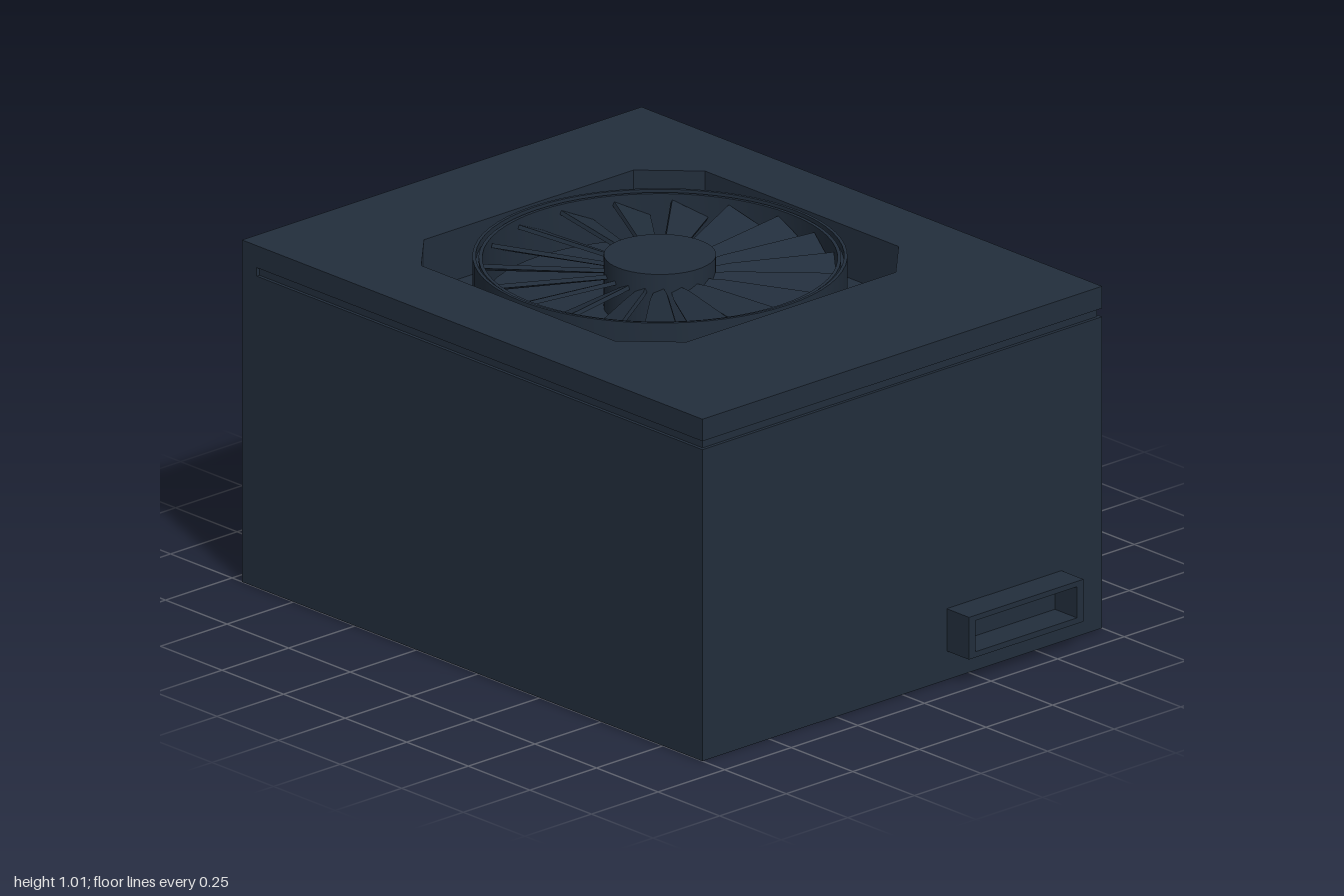
import * as THREE from 'three';
import { toCreasedNormals } from 'three/addons/utils/BufferGeometryUtils.js';

export function createModel() {
  const group = new THREE.Group();
  const metal = new THREE.MeshStandardMaterial({ color: 0x222e3c });
  metal.name = 'dark slate metal';

  const add = (name, geometry, x = 0, y = 0, z = 0, parent = group) => {
    const mesh = new THREE.Mesh(geometry, metal);
    mesh.name = name;
    mesh.position.set(x, y, z);
    parent.add(mesh);
    return mesh;
  };
  const poly = (points, Type = THREE.Shape) => new Type(points.map(([a, b]) => new THREE.Vector2(a, b)));
  const rect = (a0, b0, a1, b1, Type) => poly([[a0, b0], [a1, b0], [a1, b1], [a0, b1]], Type);
  const extrude = (shape, depth) => new THREE.ExtrudeGeometry(shape, { depth, bevelEnabled: false });
  // Outline drawn in (z, y), thickened toward -x
  const sideways = (shape, depth) => extrude(shape, depth).rotateY(-Math.PI / 2);

  const cx = -0.0875, cz = -0.0125;

  // Casing: solid base, then layers around the octagonal fan well
  const floor = 0.86;
  add('casingBase', new THREE.BoxGeometry(1.81, floor, 1.5), 0.005, floor / 2, 0);
  const layer = (name, y0, y1, inset) => {
    const shape = rect(-0.9, -0.75 + inset, 0.91 - inset, 0.75 - inset);
    const h = 0.5325, c = 0.393;
    const well = [[-c, -h], [c, -h], [h, -c], [h, c], [c, h], [-c, h], [-h, c], [-h, -c]];
    shape.holes.push(poly(well.map(([x, y]) => [cx + x, y - cz]), THREE.Path));
    add(name, extrude(shape, y1 - y0).rotateX(-Math.PI / 2), 0, y0, 0);
  };
  layer('casingUpper', floor, 0.92, 0);
  layer('seamGroove', 0.92, 0.945, 0.01);
  layer('lid', 0.945, 1.01, 0);

  // Perforated end panel
  const panel = rect(-0.75, 0, 0.75, 1.01);
  for (let row = 0; row < 9; row++) {
    for (let col = 0; col < 16; col++) {
      const hole = new THREE.Path();
      const z = -0.585 + col * 0.078, y = 0.355 + row * 0.07;
      for (let i = 0; i < 6; i++) {
        const a = i * Math.PI / 3 + Math.PI / 6;
        const px = z + 0.025 * Math.cos(a), py = y + 0.025 * Math.sin(a);
        if (i === 0) hole.moveTo(px, py); else hole.lineTo(px, py);
      }
      hole.closePath();
      panel.holes.push(hole);
    }
  }
  add('ventPanel', sideways(panel, 0.06), -0.9, 0, 0);

  // Fan: grooved ring, hub and pitched blades
  const fan = new THREE.Group();
  fan.name = 'fan';
  fan.position.set(cx, 0, cz);
  group.add(fan);
  const profile = [
    [0.49, 0.87], [0.517, 0.87], [0.517, 1.011], [0.508, 1.011], [0.508, 0.99],
    [0.5, 0.99], [0.5, 1.005], [0.49, 1.005], [0.49, 0.87],
  ].map(([r, y]) => new THREE.Vector2(r, y));
  add('fanRing', toCreasedNormals(new THREE.LatheGeometry(profile, 64), 0.5), 0, 0, 0, fan);
  add('fanHub', new THREE.CylinderGeometry(0.155, 0.155, 0.155, 48), 0, 0.9375, 0, fan);

  const bladeShape = poly([[0.15, -0.015], [0.195, -0.025], [0.485, -0.055], [0.485, 0.055], [0.195, 0.025], [0.15, 0.015]]);
  const bladeGeometry = extrude(bladeShape, 0.012).rotateX(-Math.PI / 2).rotateX(0.42);
  const blades = 19;
  for (let i = 0; i < blades; i++) {
    const blade = add('fanBlade', bladeGeometry, 0, 0.955, 0, fan);
    blade.rotation.y = Math.PI / 2 + i * 2 * Math.PI / blades;
  }

  // Hollow cable outlet on the right end
  const outlet = rect(-0.597, 0.085, -0.167, 0.21);
  outlet.holes.push(rect(-0.573, 0.102, -0.191, 0.194, THREE.Path));
  add('cableOutlet', sideways(outlet, 0.09), 1, 0, 0);

  // Power inlet with chamfered top corners
  const inlet = poly([[0.22, 0.085], [0.49, 0.085], [0.49, 0.19], [0.4, 0.29], [0.3, 0.29], [0.22, 0.19]]);
  inlet.holes.push(poly([[0.25, 0.112], [0.46, 0.112], [0.46, 0.18], [0.388, 0.262], [0.313, 0.262], [0.25, 0.18]], THREE.Path));
  add('powerInlet', sideways(inlet, 0.04), -0.96, 0, 0);

  // Rocker switch with a V-shaped face, outlined in (x, -z)
  const rocker = poly([[-0.955, -0.12], [-0.955, 0.02], [-1, 0.02], [-0.972, -0.05], [-1, -0.12]]);
  add('rockerSwitch', extrude(rocker, 0.1).rotateX(-Math.PI / 2), 0, 0.09, 0);

  return group;
}
